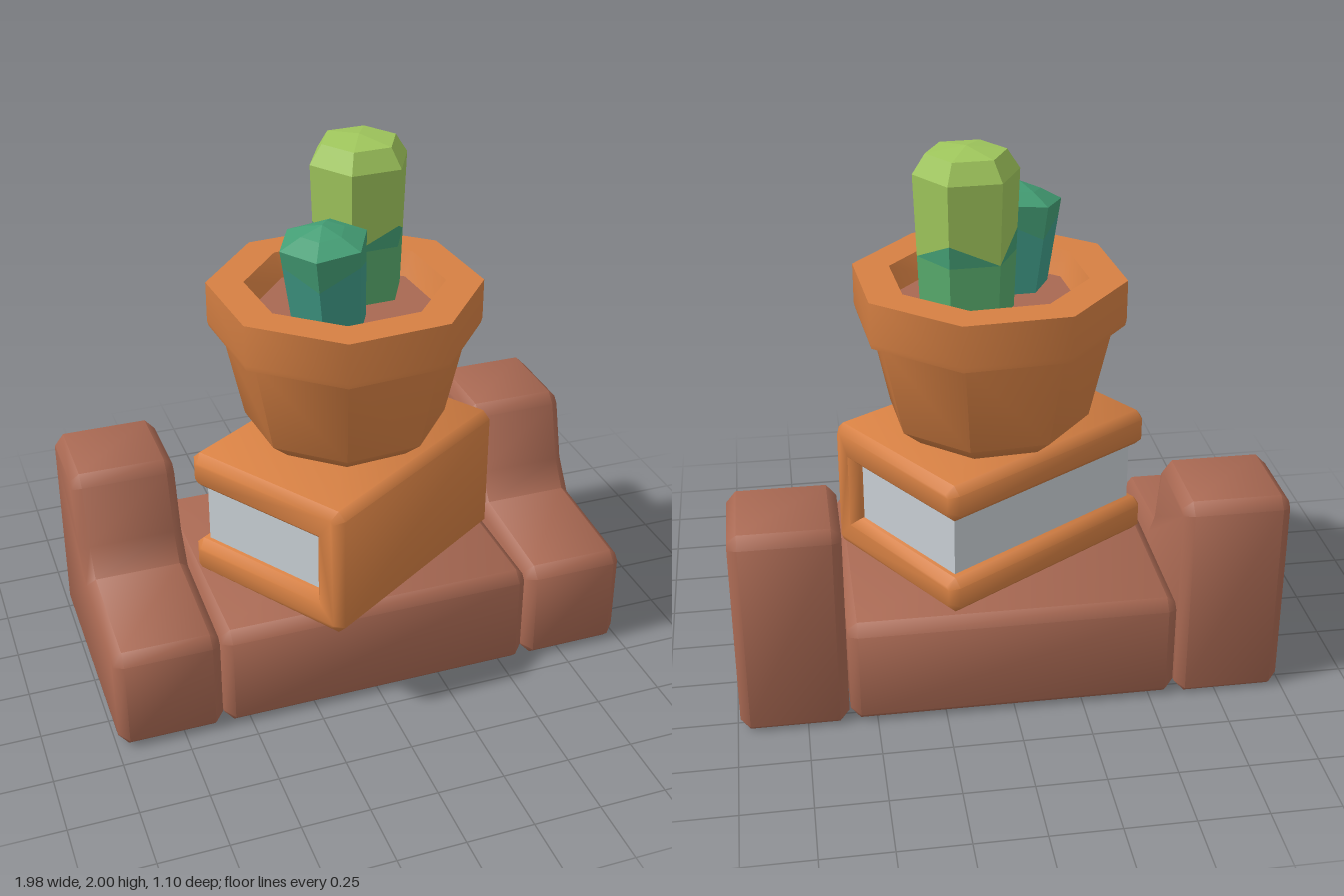
import * as THREE from 'three';
import { toCreasedNormals } from 'three/addons/utils/BufferGeometryUtils.js';

const mat = (name, color, flat = false) => {
  const m = new THREE.MeshStandardMaterial({ color, flatShading: flat });
  m.name = name;
  return m;
};

// Outline of [z, y] points extruded along x with a chamfered edge, centred on x = 0
function slab(outline, width, bevel) {
  const shape = new THREE.Shape(outline.map(([z, y]) => new THREE.Vector2(z, y)));
  const g = new THREE.ExtrudeGeometry(shape, {
    depth: width - 2 * bevel, bevelEnabled: true, bevelSegments: 1,
    bevelSize: bevel, bevelThickness: bevel, bevelOffset: -bevel,
  });
  g.translate(0, 0, bevel - width / 2);
  g.rotateY(-Math.PI / 2);
  return toCreasedNormals(g, 0.9);
}

// Six-sided tube through rings; each ring gives [radius, height] for side i
function hexLoft(rings) {
  const pos = [];
  const point = (ring, i) => {
    const [r, y] = ring(i % 6);
    const a = (i % 6) * Math.PI / 3 - 0.05;
    return [r * Math.cos(a), y, r * Math.sin(a)];
  };
  for (let k = 0; k < rings.length - 1; k++) {
    for (let i = 0; i < 6; i++) {
      const a = point(rings[k], i), b = point(rings[k], i + 1);
      const c = point(rings[k + 1], i + 1), d = point(rings[k + 1], i);
      pos.push(...a, ...c, ...b, ...a, ...d, ...c);
    }
  }
  const g = new THREE.BufferGeometry();
  g.setAttribute('position', new THREE.Float32BufferAttribute(pos, 3));
  g.computeVertexNormals();
  return g;
}

export function createModel() {
  const root = new THREE.Group();
  const brick = mat('brick brown', 0xa86852);
  const clay = mat('terracotta', 0xd68043);
  const paper = mat('paper grey', 0xc8cfd4);
  const lime = mat('lime green', 0x9fc65c, true);
  const leaf = mat('leaf green', 0x58ab6c, true);
  const jade = mat('jade green', 0x439d74, true);
  const teal = mat('teal green', 0x3f9a86, true);
  const add = (name, geometry, material, parent = root) => {
    const m = new THREE.Mesh(geometry, material);
    m.name = name;
    parent.add(m);
    return m;
  };

  // Base: low middle block between two stepped end blocks
  add('middleBlock', slab([
    [-0.53, 0], [0.39, 0], [0.42, 0.03], [0.42, 0.36], [0.38, 0.4],
    [-0.52, 0.4], [-0.56, 0.36], [-0.56, 0.03],
  ], 1.19, 0.035), brick);
  for (const side of [-1, 1]) {
    add(side > 0 ? 'leftEndBlock' : 'rightEndBlock', slab([
      [-0.54, 0], [0.39, 0], [0.42, 0.03], [0.42, 0.36], [0.38, 0.4],
      [-0.04, 0.43], [-0.11, 0.53], [-0.17, 0.75], [-0.21, 0.79],
      [-0.52, 0.79], [-0.56, 0.75], [-0.56, 0.02],
    ], 0.39, 0.035), brick).position.x = side * 0.795;
  }

  // Book lying flat, spine toward the front
  const book = new THREE.Group();
  book.name = 'book';
  book.position.set(0.005, 0, 0.01);
  book.rotation.y = 0.57;
  root.add(book);
  add('cover', slab([
    [-0.32, 0.4], [0.32, 0.4], [0.35, 0.43], [0.35, 0.88], [0.32, 0.91],
    [-0.32, 0.91], [-0.35, 0.88], [-0.35, 0.8], [-0.32, 0.77], [0.23, 0.77],
    [0.23, 0.54], [-0.32, 0.54], [-0.35, 0.51], [-0.35, 0.43],
  ], 0.95, 0.03), clay, book);
  add('pages', new THREE.BoxGeometry(0.86, 0.25, 0.56), paper, book)
    .position.set(0, 0.655, -0.02);

  // Eight-sided flower pot with a thick rim
  const phi = 27 * Math.PI / 180;
  const pot = new THREE.Group();
  pot.name = 'flowerPot';
  pot.position.set(0.02, 0, -0.03);
  root.add(pot);
  const profile = [
    [0.001, 0.91], [0.3, 0.91], [0.37, 0.97], [0.45, 1.33], [0.49, 1.33],
    [0.495, 1.35], [0.495, 1.5], [0.36, 1.5], [0.31, 1.38],
  ].map(([r, y]) => new THREE.Vector2(r, y));
  add('potShell', toCreasedNormals(new THREE.LatheGeometry(profile, 8, phi), 0.9), clay, pot);
  add('soil', new THREE.CylinderGeometry(0.325, 0.325, 0.02, 8, 1, false, phi), brick, pot)
    .position.y = 1.4;

  // Cacti: solid foot, zigzag colour change, domed top
  const cactus = (name, d) => {
    const g = new THREE.Group();
    g.name = name;
    g.position.set(...d.at);
    g.rotation.set(...d.lean);
    root.add(g);
    const radius = (y) => d.foot + (d.wide - d.foot) * y / d.shoulder;
    const level = (y) => () => [radius(y), y];
    const zigzag = (i) => {
      const y = i % 2 ? d.high : d.low;
      return [radius(y), y];
    };
    add(name + 'Foot', hexLoft([level(0), level(d.low)]), d.colors[0], g);
    add(name + 'Band', hexLoft([level(d.low), zigzag]), d.colors[1], g);
    add(name + 'Top', hexLoft([
      zigzag, level(d.shoulder), () => [d.cap, d.capY], () => [0, d.tip],
    ]), d.colors[2], g);
  };
  cactus('tallCactus', {
    at: [0.11, 1.39, -0.14], lean: [0, 0, 0], foot: 0.165, wide: 0.185,
    low: 0.23, high: 0.31, shoulder: 0.52, cap: 0.14, capY: 0.59, tip: 0.61,
    colors: [leaf, jade, lime],
  });
  cactus('smallCactus', {
    at: [-0.075, 1.39, 0.085], lean: [0.06, 0, 0.09], foot: 0.135, wide: 0.16,
    low: 0.22, high: 0.28, shoulder: 0.34, cap: 0.08, capY: 0.375, tip: 0.4,
    colors: [teal, teal, jade],
  });
  return root;
}
